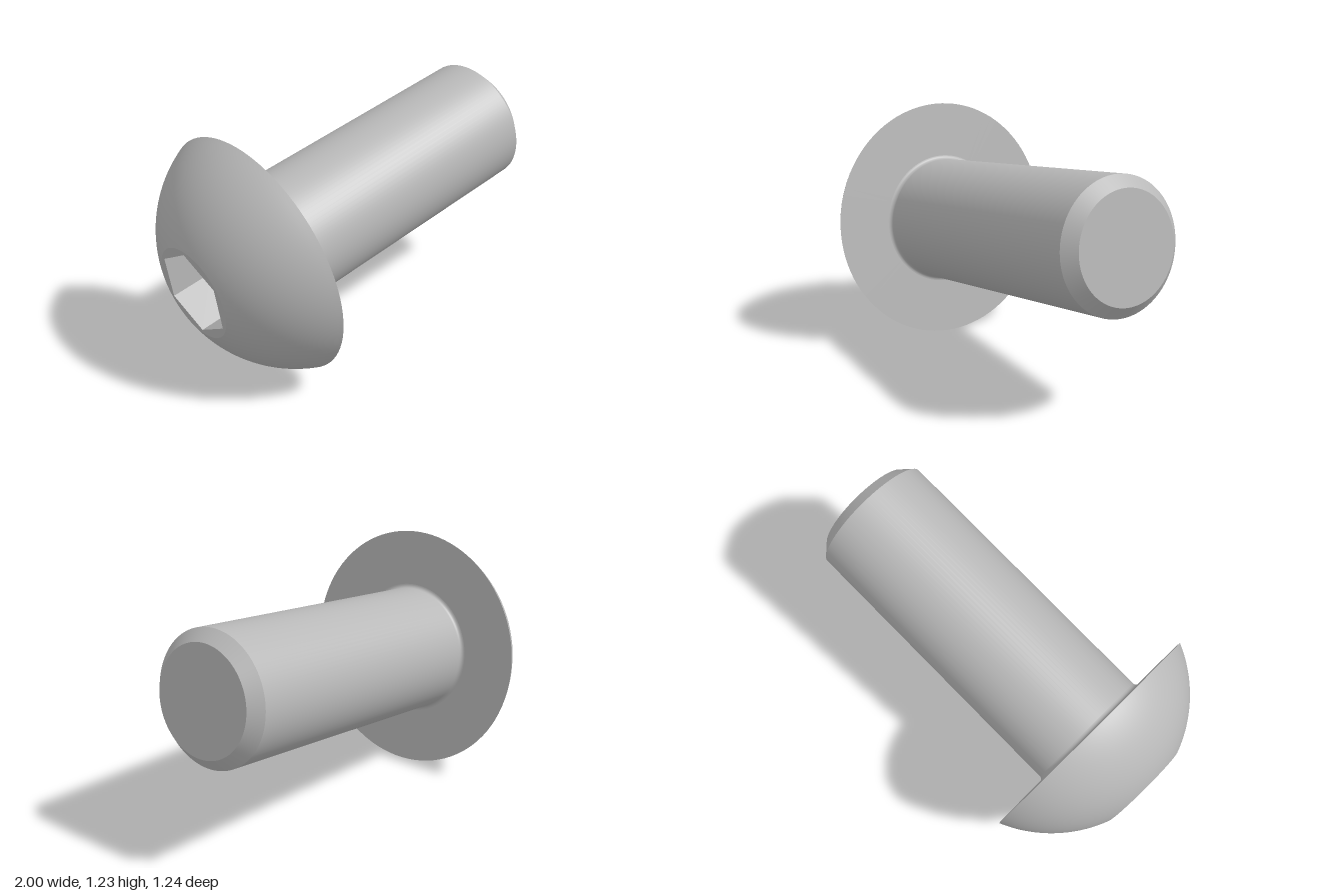
import * as THREE from 'three';

const HEAD_R = 0.62, HEAD_H = 0.364, FLAT_R = 0.238;
const SHANK_R = 0.321, TIP_R = 0.263, LENGTH = 1.58, CHAMFER = 0.057, FILLET = 0.02;
const HEX_R = 0.22, HEX_DEPTH = 0.22;

export function createModel() {
  const steel = new THREE.MeshStandardMaterial({ color: 0xb8b8b8 });
  steel.name = 'steel';
  const screw = new THREE.Group();
  screw.name = 'screw';

  const add = (name, geometry) => {
    const mesh = new THREE.Mesh(geometry, steel);
    mesh.name = name;
    screw.add(mesh);
  };
  // each profile is turned about the local y axis, head below 0 and tip above
  const turn = (name, points) =>
    add(name, new THREE.LatheGeometry(points.map(([r, y]) => new THREE.Vector2(r, y)), 96));
  const arc = (cx, cy, r, a0, a1, n) =>
    Array.from({ length: n + 1 }, (_, i) => {
      const a = a0 + (a1 - a0) * i / n;
      return [cx + r * Math.cos(a), cy + r * Math.sin(a)];
    });

  // domed head: a slice of a sphere between the flat and the rim
  const domeY = (HEAD_R ** 2 - FLAT_R ** 2 - HEAD_H ** 2) / (2 * HEAD_H);
  turn('headDome', arc(0, domeY, Math.hypot(HEAD_R, domeY),
    Math.atan2(-HEAD_H - domeY, FLAT_R), Math.atan2(-domeY, HEAD_R), 20));
  turn('headUnderside', [[HEAD_R, 0], [SHANK_R + FILLET, 0]]);

  // shank with small fillet, end chamfer and tip
  turn('shankFillet', arc(SHANK_R + FILLET, FILLET, FILLET, Math.PI * 1.5, Math.PI, 6));
  turn('shank', [[SHANK_R, FILLET], [SHANK_R, LENGTH - CHAMFER]]);
  turn('tipChamfer', [[SHANK_R, LENGTH - CHAMFER], [TIP_R, LENGTH]]);
  turn('tipFace', [[TIP_R, LENGTH], [0, LENGTH]]);

  // flat crown of the head with a hexagonal opening
  const crown = new THREE.Shape().absarc(0, 0, FLAT_R, 0, Math.PI * 2);
  const corners = Array.from({ length: 6 }, (_, i) =>
    new THREE.Vector2(HEX_R * Math.cos(i * Math.PI / 3), HEX_R * Math.sin(i * Math.PI / 3)));
  crown.holes.push(new THREE.Path(corners));
  add('headCrown', new THREE.ShapeGeometry(crown, 48).rotateX(Math.PI / 2).translate(0, -HEAD_H, 0));

  // hexagonal socket: floor and inward-facing walls
  const floorY = HEX_DEPTH - HEAD_H;
  const socket = new THREE.LatheGeometry([
    new THREE.Vector2(0, floorY),
    new THREE.Vector2(HEX_R, floorY),
    new THREE.Vector2(HEX_R, -HEAD_H),
  ], 6).rotateY(Math.PI / 2).toNonIndexed();
  socket.computeVertexNormals();
  add('hexSocket', socket);

  // lean the screw so it rests on the head rim with the tip raised
  const axis = new THREE.Vector3(1.555, 0.243, -0.135).normalize();
  const side = new THREE.Vector3(0, 0, 1).addScaledVector(axis, -axis.z).normalize();
  const across = new THREE.Vector3().crossVectors(axis, side);
  screw.quaternion.setFromRotationMatrix(new THREE.Matrix4().makeBasis(across, axis, side));
  screw.position.set(-0.6, 0.614, 0);

  const model = new THREE.Group();
  model.name = 'buttonHeadScrew';
  model.add(screw);
  return model;
}
